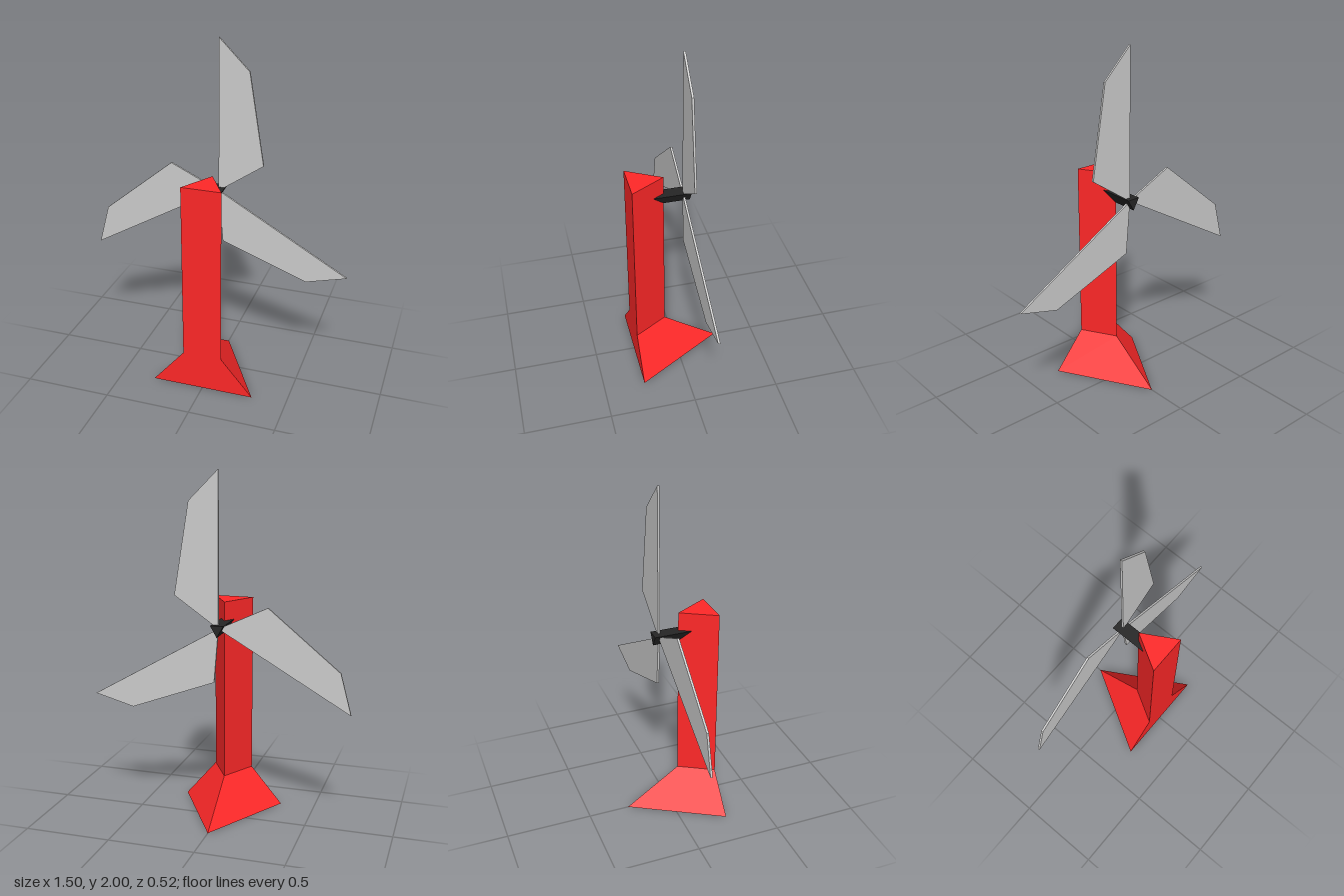
import * as THREE from 'three';

const FRONT_Z = 0.26; // shared front plane of base and tower
const AXLE_Y = 1.133; // height of the rotor axis

const paint = (color) => new THREE.MeshStandardMaterial({ color, flatShading: true });

// Three-sided column with one corner to the back and its flat front kept at FRONT_Z
function triangularColumn(name, rBottom, rTop, y0, y1, material) {
  const geo = new THREE.CylinderGeometry(rTop, rBottom, y1 - y0, 3, 1, false, Math.PI);
  geo.translate(0, (y0 + y1) / 2, 0);
  const p = geo.attributes.position;
  const middle = (y0 + y1) / 2;
  for (let i = 0; i < p.count; i++) {
    const r = p.getY(i) < middle ? rBottom : rTop;
    p.setZ(i, p.getZ(i) + FRONT_Z - r / 2);
  }
  geo.computeVertexNormals();
  const mesh = new THREE.Mesh(geo, material);
  mesh.name = name;
  return mesh;
}

export function createModel() {
  const model = new THREE.Group();
  model.name = 'windTurbine';
  const red = paint(0xff2828);
  const black = paint(0x262626);
  const grey = paint(0xcccccc);

  // Flared foot and straight tower
  model.add(triangularColumn('base', 0.346, 0.132, 0, 0.22, red));
  model.add(triangularColumn('tower', 0.132, 0.132, 0.22, 1.263, red));

  // Triangular axle, flat side up, running from the tower out through the rotor
  const axleBack = -0.088, axleFront = 0.14;
  const axleGeo = new THREE.CylinderGeometry(0.044, 0.044, axleFront - axleBack, 3);
  axleGeo.rotateX(Math.PI / 2);
  const axle = new THREE.Mesh(axleGeo, black);
  axle.name = 'axle';
  axle.position.set(0, AXLE_Y, (axleFront + axleBack) / 2);
  model.add(axle);

  // Rotor: three thin blades meeting in a point at the axis
  const outline = new THREE.Shape([
    new THREE.Vector2(0, 0),
    new THREE.Vector2(0.256, 0.177),
    new THREE.Vector2(0.17, 0.697),
    new THREE.Vector2(0, 0.867),
  ]);
  const thickness = 0.012;
  const bladeGeo = new THREE.ExtrudeGeometry(outline, { depth: thickness, bevelEnabled: false });
  bladeGeo.translate(0, 0, -thickness / 2);
  const rotor = new THREE.Group();
  rotor.name = 'rotor';
  rotor.position.set(0, AXLE_Y, -0.051);
  for (let i = 0; i < 3; i++) {
    const blade = new THREE.Mesh(bladeGeo, grey);
    blade.name = `blade${i + 1}`;
    blade.rotation.z = (-i * 2 * Math.PI) / 3;
    rotor.add(blade);
  }
  model.add(rotor);

  return model;
}
